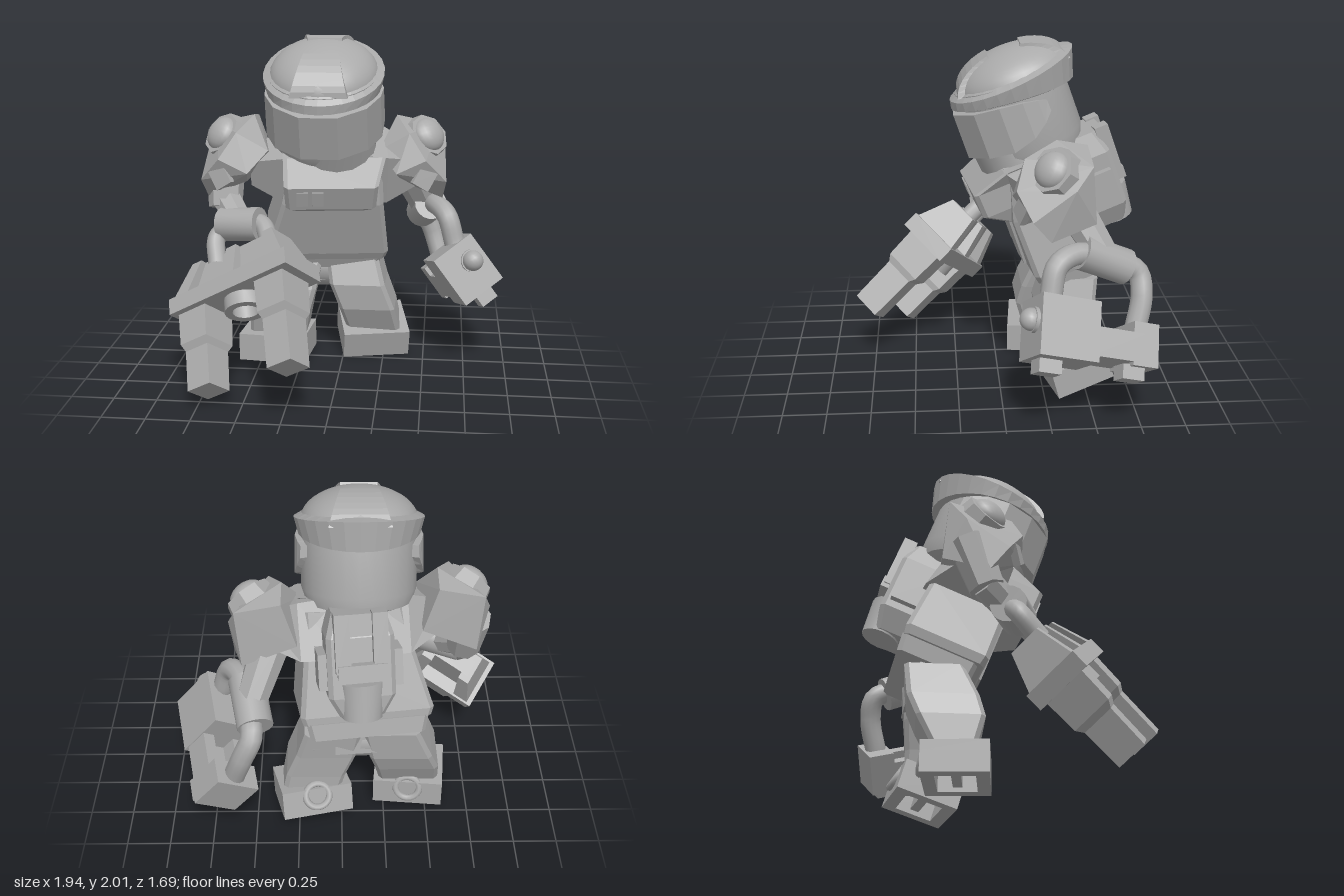
import * as THREE from 'three';
import { ConvexGeometry } from 'three/addons/geometries/ConvexGeometry.js';
import { toCreasedNormals } from 'three/addons/utils/BufferGeometryUtils.js';

const armour = new THREE.MeshStandardMaterial({ color: 0xaaaaaa });
armour.name = 'grey armour';
const V = (x, y, z) => new THREE.Vector3(x, y, z);

function add(parent, name, geo, pos = [0, 0, 0], rot = [0, 0, 0]) {
  const m = new THREE.Mesh(geo, armour);
  m.name = name;
  m.position.set(...pos);
  m.rotation.set(...rot);
  parent.add(m);
  return m;
}
const box = (p, name, size, pos, rot) => add(p, name, new THREE.BoxGeometry(...size), pos, rot);

// Flat-faced skin over equal-length cross-sections, wound to face outward
function skin(sections, closed = false) {
  const tris = [], n = sections[0].length, count = sections.length;
  for (let i = 0; i < (closed ? count : count - 1); i++) {
    const a = sections[i], b = sections[(i + 1) % count];
    for (let j = 0; j < n; j++) {
      const k = (j + 1) % n;
      tris.push([a[j], a[k], b[k]], [a[j], b[k], b[j]]);
    }
  }
  if (!closed) for (let j = 1; j < n - 1; j++) {
    const a = sections[0], b = sections[count - 1];
    tris.push([a[0], a[j + 1], a[j]], [b[0], b[j], b[j + 1]]);
  }
  let volume = 0;
  for (const [a, b, c] of tris) volume += a.dot(V(0, 0, 0).crossVectors(b, c));
  if (volume < 0) tris.forEach(t => t.reverse());
  const g = new THREE.BufferGeometry().setFromPoints(tris.flat());
  g.computeVertexNormals();
  return g;
}
// Horizontal rectangle with cut corners
function slab(y, cx, cz, w, d, c = 0.025) {
  const a = w / 2, b = d / 2;
  return [[a, b - c], [a - c, b], [c - a, b], [-a, b - c], [-a, c - b], [c - a, -b], [a - c, -b], [a, c - b]]
    .map(([x, z]) => V(cx + x, y, cz + z));
}
const loft = rows => skin(rows.map(r => slab(...r)));

// Cylinder between two points
function rod(parent, name, a, b, r1, r2 = r1, sides = 16) {
  const A = V(...a), B = V(...b), d = B.clone().sub(A);
  const g = toCreasedNormals(new THREE.CylinderGeometry(r2, r1, d.length(), sides), 0.6);
  const m = add(parent, name, g);
  m.position.copy(A).add(B).multiplyScalar(0.5);
  m.quaternion.setFromUnitVectors(V(0, 1, 0), d.normalize());
  return m;
}
function hose(parent, name, pts, r) {
  const curve = new THREE.CatmullRomCurve3(pts.map(p => V(...p)));
  return add(parent, name, new THREE.TubeGeometry(curve, 32, r, 12));
}
// Group whose local x and z follow the given directions
function frame(parent, name, origin, xDir, zDir) {
  const g = new THREE.Group(), z = V(...zDir).normalize();
  const y = z.clone().cross(V(...xDir)).normalize(), x = y.clone().cross(z);
  g.name = name;
  g.quaternion.setFromRotationMatrix(new THREE.Matrix4().makeBasis(x, y, z));
  g.position.set(...origin);
  parent.add(g);
  return g;
}
function group(parent, name, pos, rx, ry) {
  const g = new THREE.Group();
  g.name = name;
  g.position.set(...pos);
  g.rotation.set(rx, ry, 0, 'YXZ');
  parent.add(g);
  return g;
}

function buildHead(root) {
  const head = group(root, 'head', [-0.095, 1.62, -0.12], 0.35, 0);
  const skull = [[0, -0.3], [0.23, -0.3], [0.29, -0.275], [0.315, -0.2], [0.315, 0.2]].map(p => new THREE.Vector2(...p));
  add(head, 'skull', toCreasedNormals(new THREE.LatheGeometry(skull, 28), 0.6));
  // Faceted visor that wraps round to rounded ends
  const visor = [-116, -108, -95, -75, -50, -18, 18, 50, 75, 95, 108, 116].map(deg => {
    const a = deg * Math.PI / 180, k = Math.max(0, (Math.abs(deg) - 72) / 44);
    const low = -0.16 + 0.15 * k * k, top = 0.105 - 0.05 * k * k;
    const at = (r, u) => V(Math.sin(a) * r * 0.92, u, Math.cos(a) * r);
    return [at(0.38, low), at(0.375, top), at(0.3, top), at(0.3, low)];
  });
  add(head, 'visor', skin(visor));
  // Brim that widens and deepens toward the back
  const brim = [];
  for (let i = 0; i < 28; i++) {
    const a = i / 28 * Math.PI * 2, k = (1 - Math.cos(a)) / 2;
    const at = (r, u) => V(Math.sin(a) * r * 0.92, u, Math.cos(a) * r);
    brim.push([at(0.36, 0.125 - 0.06 * k * k), at(0.35 + 0.06 * k, 0.175 + 0.055 * k * k),
      at(0.3, 0.205 + 0.045 * k), at(0.29, 0.11 - 0.05 * k)]);
  }
  add(head, 'helmetBrim', skin(brim, true));
  const dome = add(head, 'helmetDome', new THREE.SphereGeometry(1, 32, 12, 0, Math.PI * 2, 0, Math.PI / 2), [0, 0.165, -0.035]);
  dome.scale.set(0.318, 0.19, 0.34);
  for (const [name, dir] of [['frontCrest', 1], ['backCrest', -1]]) {
    const rows = [];
    for (let i = 0; i <= 7; i++) {
      const t = 0.3 + i * 0.16;
      const at = (r, s) => V(s * (0.1 + i * 0.009), 0.165 + Math.cos(t) * 0.19 * r, -0.035 + dir * Math.sin(t) * 0.325 * r);
      rows.push([at(1.035, 1), at(1.035, -1), at(0.82, -1), at(0.82, 1)]);
    }
    add(head, name, skin(rows));
  }
}

function buildTorso(root) {
  const t = group(root, 'torso', [-0.07, 0.74, -0.42], 0.35, 0.13);
  add(t, 'body', loft([[0, -0.05, 0.02, 0.71, 0.46], [0.05, -0.05, 0.02, 0.74, 0.48], [0.4, -0.02, 0.03, 0.6, 0.46], [0.64, 0, 0, 0.54, 0.38]]));
  add(t, 'belt', loft([[-0.09, -0.05, 0, 0.64, 0.42], [0.01, -0.05, 0, 0.68, 0.44]]));
  add(t, 'chestPlate', loft([[0.38, -0.035, 0.14, 0.44, 0.28], [0.475, -0.035, 0.2, 0.52, 0.41], [0.62, -0.035, 0.2, 0.54, 0.42], [0.7, -0.01, 0.05, 0.6, 0.32]]));
  add(t, 'bellyPlate', skin([[0.06, 0.1], [0.38, 0.18]].map(([y, w]) =>
    [V(w - 0.01, y, 0.275), V(-w, y, 0.275), V(-w, y, 0.2), V(w - 0.01, y, 0.2)])));
  for (const x of [-0.2, -0.11]) box(t, 'chestPanel', [0.065, 0.09, 0.03], [x, 0.55, 0.403]);
  rod(t, 'neck', [0, 0.6, 0.05], [0, 0.82, 0.1], 0.25, 0.22);
  // Sloping yoke from the spine out to each shoulder
  for (const s of [1, -1]) add(t, 'shoulderYoke', skin([[0.05, 0.38, 0.72, -0.25, 0.2], [0.3, 0.38, 0.69, -0.22, 0.2], [0.5, 0.46, 0.62, -0.1, 0.12]]
    .map(([x, y0, y1, z0, z1]) => [V(s * x, y0, z0), V(s * x, y1, z0 + 0.06), V(s * x, y1, z1), V(s * x, y0, z1)])));
  // Backpack
  add(t, 'packCore', loft([[0.1, 0, -0.28, 0.24, 0.2], [0.22, 0, -0.29, 0.36, 0.24], [0.55, 0, -0.29, 0.36, 0.24], [0.68, 0, -0.27, 0.28, 0.2]]));
  rod(t, 'packTank', [0, 0.09, -0.34], [0, 0.3, -0.34], 0.11, 0.13);
  for (const x of [-0.1, 0.1]) {
    box(t, 'packRail', [0.08, 0.32, 0.08], [x, 0.53, -0.41]);
    box(t, 'packStrap', [0.07, 0.2, 0.2], [x * 1.9, 0.36, -0.27]);
  }
  box(t, 'packBridge', [0.26, 0.07, 0.08], [0, 0.38, -0.42]);
  box(t, 'packTop', [0.14, 0.12, 0.08], [0, 0.62, -0.38]);
}

function buildShoulder(root, side) {
  const place = ([x, y, z]) => side > 0 ? [x, y, z] : [-0.2 - x, y + 0.01, z + 0.12];
  const corners = [[0.32, 1.53, -0.3], [0.32, 1.5, -0.47], [0.57, 1.45, -0.47], [0.61, 1.33, -0.38], [0.62, 1.16, -0.15],
    [0.6, 1.04, -0.25], [0.54, 1.12, -0.5], [0.5, 1.3, -0.07], [0.33, 1.22, -0.06], [0.24, 1.25, -0.5], [0.4, 1.45, -0.12], [0.36, 1.14, -0.22], [0.22, 1.34, -0.16]];
  add(root, 'shoulderPad', new ConvexGeometry(corners.map(c => V(...place(c)))));
  const k = frame(root, 'shoulderKnob', place([0.495, 1.405, -0.27]), [1, 0, -side], [side, 0.95, 1]);
  rod(k, 'knobBase', [0, 0, -0.08], [0, 0, 0.035], 0.155, 0.13, 8);
  add(k, 'knobDome', new THREE.SphereGeometry(0.105, 20, 12), [0, 0, 0.02]).scale.z = 0.7;
  const w = frame(root, 'padHatch', place([0.49, 1.19, -0.105]), [1, -0.55 * side, 0], [0.35 * side, 0.1, 0.9]);
  box(w, 'hatch', [0.11, 0.12, 0.04], [0, 0, 0]);
}

function buildLeftArm(root) {
  rod(root, 'upperArm', [0.36, 1.25, -0.34], [0.49, 0.93, -0.54], 0.115, 0.09, 8);
  rod(root, 'leftHand', [0.53, 0.96, -0.42], [0.47, 0.84, -0.68], 0.1);
  hose(root, 'gripHose', [[0.68, 0.76, -0.24], [0.63, 0.92, -0.28], [0.56, 0.96, -0.4], [0.51, 0.89, -0.6], [0.49, 0.82, -0.74], [0.54, 0.7, -0.76], [0.6, 0.52, -0.72]], 0.062);
  const g = frame(root, 'leftTool', [0.765, 0.63, -0.13], [0.78, 0.56, -0.27], [0.2, 0.28, 0.94]);
  box(g, 'toolHead', [0.28, 0.33, 0.34], [0, 0, -0.17]);
  for (const x of [-0.1, 0.1]) box(g, 'toolRail', [0.07, 0.16, 0.32], [x, -0.05, -0.46]);
  box(g, 'toolSpine', [0.18, 0.06, 0.32], [0, -0.1, -0.46]);
  box(g, 'toolTail', [0.27, 0.24, 0.15], [0, -0.03, -0.62]);
  box(g, 'toolFoot', [0.11, 0.08, 0.13], [0, -0.2, -0.1]);
  box(g, 'tailFoot', [0.11, 0.08, 0.13], [0.04, -0.18, -0.57]);
  add(g, 'toolKnob', new THREE.SphereGeometry(0.062, 18, 12), [0.05, 0.03, 0.025]);
  rod(g, 'knobCollar', [0.05, 0.03, -0.02], [0.05, 0.03, 0.02], 0.07);
}

function buildRightArm(root) {
  rod(root, 'upperArm', [-0.71, 1.25, -0.24], [-0.7, 0.98, -0.14], 0.12, 0.1, 8);
  rod(root, 'foreArm', [-0.69, 1.02, -0.15], [-0.57, 0.9, 0.02], 0.09, 0.08, 8);
  rod(root, 'rightHand', [-0.7, 0.9, -0.03], [-0.46, 0.93, 0.05], 0.1);
  hose(root, 'gripHose', [[-0.7, 0.7, 0.14], [-0.72, 0.84, 0.02], [-0.6, 0.91, 0.0], [-0.45, 0.93, 0.05], [-0.38, 0.83, 0.18]], 0.055);
  const g = frame(root, 'rightTool', [-0.52, 0.6, 0.3], [0.838, 0.477, 0.265], [0.17, -0.68, 0.71]);
  box(g, 'crossPlate', [0.85, 0.32, 0.1], [0, 0, 0]);
  const taper = (x0, x1, x2, x3, d0, d1) => skin([[x0, x1, d0, -0.04], [x2, x3, d1, -0.26]].map(([a, b, d, z]) =>
    [V(a, -d, z), V(b, -d, z), V(b, d, z), V(a, d, z)]));
  add(g, 'rearCore', taper(-0.37, 0.37, -0.27, 0.27, 0.08, 0.05));
  for (const x of [-0.35, 0, 0.35]) add(g, 'rearRib', taper(x - 0.05, x + 0.05, x * 0.75 - 0.035, x * 0.75 + 0.035, 0.15, 0.09));
  // Two tapering prongs
  for (const [x, end] of [[-0.29, 0.52], [0.27, 0.57]]) {
    const rows = [[0.04, 0.1, 0.12], [0.24, 0.095, 0.115], [0.28, 0.08, 0.09], [end, 0.08, 0.085]];
    add(g, 'prong', skin(rows.map(([z, a, b]) => [V(x - a, -b, z), V(x + a, -b, z), V(x + a, b, z), V(x - a, b, z)])));
  }
  const ring = [[0.075, 0], [0.12, 0], [0.12, 0.1], [0.075, 0.1], [0.075, 0]].map(p => new THREE.Vector2(...p));
  add(g, 'muzzleRing', toCreasedNormals(new THREE.LatheGeometry(ring, 20), 0.6), [0, -0.01, 0.03], [Math.PI / 2, 0, 0]);
}

function buildLegs(root) {
  box(root, 'hips', [0.34, 0.2, 0.26], [-0.12, 0.6, -0.41], [0.15, 0.1, 0]);
  rod(root, 'hipAxle', [-0.41, 0.56, -0.4], [0.17, 0.56, -0.42], 0.14);
  add(root, 'leftLeg', loft([[0.66, 0.05, -0.42, 0.32, 0.3], [0.48, 0.09, -0.38, 0.34, 0.34], [0.32, 0.15, -0.38, 0.34, 0.32], [0.15, 0.19, -0.42, 0.33, 0.24]]));
  add(root, 'rightLeg', loft([[0.66, -0.28, -0.4, 0.32, 0.32], [0.46, -0.34, -0.35, 0.36, 0.38], [0.33, -0.38, -0.31, 0.37, 0.36], [0.15, -0.4, -0.29, 0.35, 0.22]]));
  const feet = [group(root, 'leftFoot', [0.175, 0.125, -0.43], 0.28, 0.22), group(root, 'rightFoot', [-0.41, 0.09, -0.27], 0, -0.1)];
  // Feet are hollow underneath, with a round socket behind
  for (const f of feet) {
    box(f, 'footTop', [0.41, 0.06, 0.35], [0, 0.055, 0]);
    for (const s of [-1, 1]) {
      box(f, 'footSide', [0.07, 0.17, 0.35], [s * 0.17, 0, 0]);
      box(f, 'footEnd', [0.41, 0.17, 0.07], [0, 0, s * 0.14]);
    }
    box(f, 'footBar', [0.3, 0.1, 0.05], [0, -0.01, 0]);
    add(f, 'heelSocket', new THREE.TorusGeometry(0.07, 0.02, 8, 20), [0, 0.04, -0.17], [0.3, 0, 0]);
  }
}

export function createModel() {
  const root = new THREE.Group();
  root.name = 'armouredFigure';
  buildHead(root);
  buildTorso(root);
  buildShoulder(root, 1);
  buildShoulder(root, -1);
  buildLeftArm(root);
  buildRightArm(root);
  buildLegs(root);
  return root;
}
